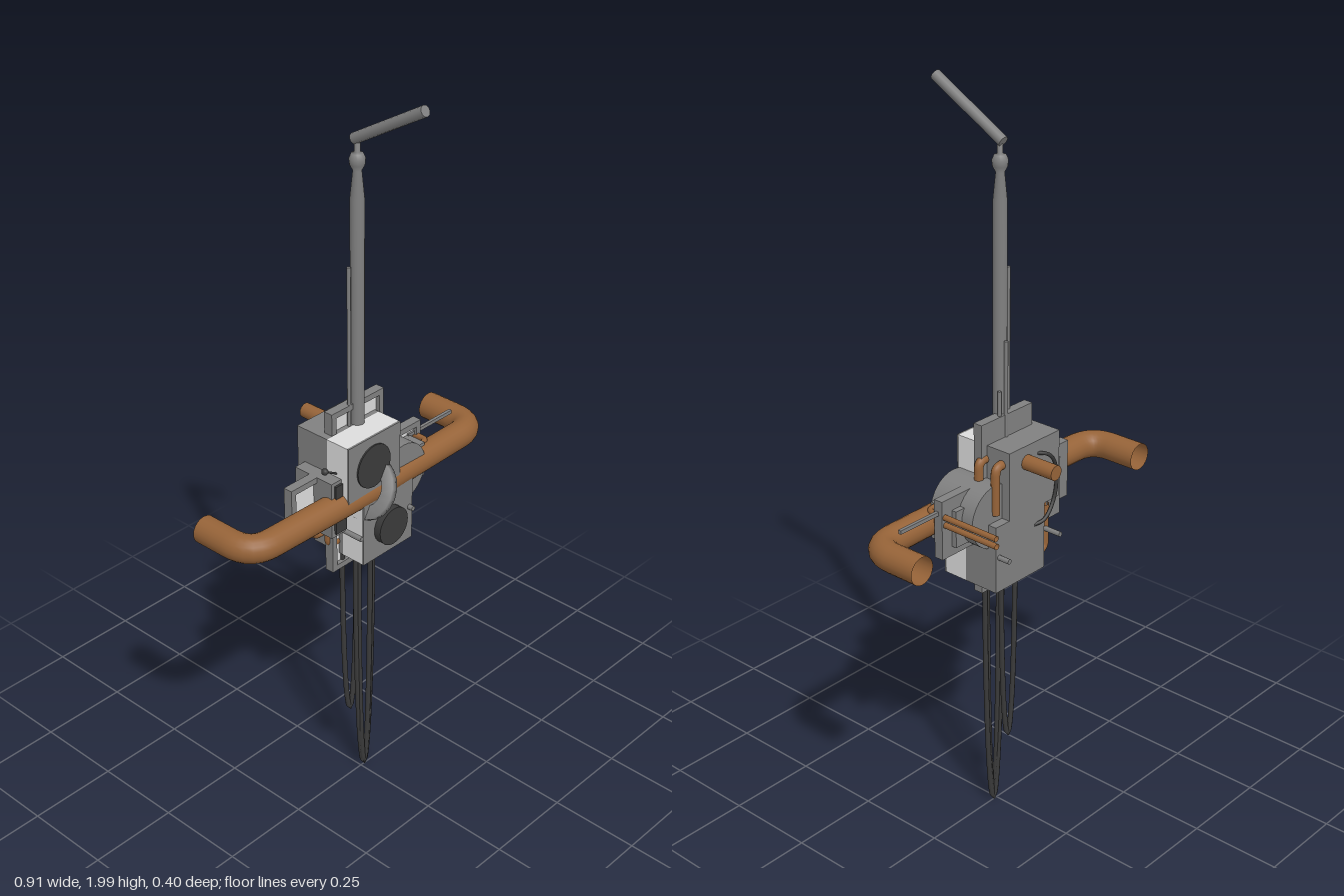
import * as THREE from 'three';

const mat = (name, color, side = THREE.FrontSide) => {
  const m = new THREE.MeshStandardMaterial({ color, side });
  m.name = name;
  return m;
};

export function createModel() {
  const grey = mat('grey metal', 0x808080);
  const pale = mat('pale panel', 0xdcdcdc);
  const dark = mat('dark rubber', 0x3a3a3a);
  const brown = mat('copper brown', 0x966338, THREE.DoubleSide);

  const model = new THREE.Group();
  const V = (x, y, z) => new THREE.Vector3(x, y, z);
  const add = (name, geo, material, parent = model) => {
    const m = new THREE.Mesh(geo, material);
    m.name = name;
    parent.add(m);
    return m;
  };
  // box given by its lower and upper limits on each axis
  const box = (name, material, x0, x1, y0, y1, z0, z1, parent) => {
    const m = add(name, new THREE.BoxGeometry(x1 - x0, y1 - y0, z1 - z0), material, parent);
    m.position.set((x0 + x1) / 2, (y0 + y1) / 2, (z0 + z1) / 2);
    return m;
  };
  // straight round rod between two points
  const rod = (name, material, a, b, r, sides = 12) => {
    const d = b.clone().sub(a);
    const m = add(name, new THREE.CylinderGeometry(r, r, d.length(), sides), material);
    m.position.copy(a).add(b).multiplyScalar(0.5);
    m.quaternion.setFromUnitVectors(V(0, 1, 0), d.normalize());
    return m;
  };
  // pipe through points with rounded corners
  const pipe = (name, material, pts, r, bend, sides = 16) => {
    const path = new THREE.CurvePath();
    let from = pts[0];
    for (let i = 1; i < pts.length; i++) {
      if (i === pts.length - 1) { path.add(new THREE.LineCurve3(from, pts[i])); break; }
      const p = pts[i];
      const a = p.clone().add(pts[i - 1].clone().sub(p).setLength(bend));
      const b = p.clone().add(pts[i + 1].clone().sub(p).setLength(bend));
      path.add(new THREE.LineCurve3(from, a));
      path.add(new THREE.QuadraticBezierCurve3(a, p, b));
      from = b;
    }
    return add(name, new THREE.TubeGeometry(path, 72, r, sides, false), material);
  };

  // mast with tapered neck and round collar
  const mastProfile = [[0, 0.75], [0.018, 0.75], [0.018, 1.72], [0.011, 1.79], [0.019, 1.805],
    [0.02, 1.82], [0.015, 1.832], [0.007, 1.835], [0.007, 1.865], [0, 1.865]];
  add('mast', new THREE.LatheGeometry(mastProfile.map(p => new THREE.Vector2(...p)), 16), grey)
    .position.z = -0.012;
  rod('mastTip', grey, V(0, 1.865, -0.022), V(0, 1.987, 0.193), 0.014, 10);

  // thin aerials beside the mast
  for (const [x, z, top] of [[-0.027, -0.015, 1.55], [0.003, -0.035, 1.37], [0.02, -0.028, 1.24]])
    rod('aerial', grey, V(x, 0.95, z), V(x, top, z), 0.005, 8);

  // crossed plates with raised rims and pale inlays
  const plate = (name, w, y0, y1) => {
    const g = new THREE.Group();
    g.name = name;
    model.add(g);
    const r = 0.016;
    box('plateBack', grey, -w, w, y0, y1, -0.036, -0.026, g);
    box('plateInlay', pale, -w + r, w - r, y0 + r, y1 - r, -0.026, -0.022, g);
    for (const s of [-1, 1]) {
      const c = s * (w - r / 2);
      box('plateRim', grey, c - r / 2, c + r / 2, y0, y1, -0.026, -0.01, g);
    }
    box('plateRim', grey, -w + r, w - r, y0, y0 + r, -0.026, -0.01, g);
    box('plateRim', grey, -w + r, w - r, y1 - r, y1, -0.026, -0.01, g);
  };
  plate('tallPlate', 0.095, 0.705, 1.175);
  plate('widePlate', 0.24, 0.86, 1.02);

  // two stacked housings: grey rear, pale front hood, grey face
  const housing = (name, x0, x1, y0, y1) => {
    const g = new THREE.Group();
    g.name = name;
    model.add(g);
    box('housingRear', grey, x0, x1, y0, y1, -0.11, -0.008, g);
    box('housingHood', pale, x0, x1, y0, y1, -0.008, 0.059, g);
    box('housingFace', grey, x0, x1, y0, y1, 0.059, 0.065, g);
  };
  housing('upperHousing', -0.115, 0.075, 0.93, 1.115);
  housing('lowerHousing', -0.06, 0.125, 0.745, 0.93);

  // round dark lenses
  for (const [x, y, r, z] of [[-0.025, 1.03, 0.06, 0.069], [0.033, 0.83, 0.053, 0.085]])
    rod('lens', dark, V(x, y, 0.06), V(x, y, z), r, 28);

  // side drum and side box with dark grille
  rod('sideDrum', grey, V(0.1, 0.945, -0.085), V(0.1, 0.945, 0.055), 0.085, 32);
  box('drumFoot', grey, 0.12, 0.205, 0.885, 0.985, -0.05, 0.035);
  box('sideBox', grey, -0.15, -0.1, 0.86, 1.02, -0.085, 0.04);
  box('sideGrille', dark, -0.14, -0.102, 0.87, 1.01, 0.04, 0.046);

  // handlebar with swept-back open ends
  pipe('handlebar', brown, [V(-0.417, 0.94, -0.137), V(-0.417, 0.94, 0.026), V(0, 0.94, 0.034),
    V(0.417, 0.94, 0.026), V(0.417, 0.94, -0.137)], 0.037, 0.07, 20);

  // strap wound diagonally around the handlebar
  const band = [[0.05, -0.01], [0.084, -0.01], [0.084, 0.01], [0.05, 0.01], [0.05, -0.01]];
  const strap = add('strap', new THREE.LatheGeometry(band.map(p => new THREE.Vector2(...p)), 20), grey);
  strap.position.set(-0.01, 0.945, 0.033);
  strap.rotation.z = -Math.PI * 2 / 3;

  // rear pipes
  rod('rearPipe', brown, V(0.01, 1.07, -0.1), V(0.01, 1.07, -0.205), 0.02, 16);
  for (const [y, x] of [[0.975, 0.23], [0.953, 0.228]])
    pipe('thinPipe', brown, [V(0.15, y, 0.022), V(x, y, 0.022), V(x, y, -0.205)], 0.008, 0.02, 10);

  // elbow pipes on both sides, turned half round
  for (const s of [1, -1])
    for (const z of [-0.085, -0.03])
      pipe('elbowPipe', brown, [V(0.005 + s * 0.05, 0.93 + s * 0.148, z),
        V(0.005 + s * 0.094, 0.93 + s * 0.148, z), V(0.005 + s * 0.094, 0.93 + s * 0.02, z)], 0.012, 0.02, 12);

  // cross pins through the body
  for (const x of [-0.083, 0.113])
    rod('crossPin', grey, V(x, 0.843, -0.145), V(x, 0.843, 0.08), 0.007, 8);

  // side boom with short struts
  box('sideBoom', grey, 0.2, 0.372, 0.98, 0.99, -0.025, -0.016);

  // small knob on a stalk
  rod('knobStalk', dark, V(-0.1, 1.02, 0.018), V(-0.172, 1.068, 0.041), 0.003, 8);
  add('knob', new THREE.SphereGeometry(0.009, 12, 8), dark).position.set(-0.174, 1.069, 0.041);

  // cable looped on the back
  const backLoop = [V(-0.03, 1.08, -0.105), V(-0.06, 1.07, -0.122), V(-0.095, 1.02, -0.117),
    V(-0.09, 0.94, -0.117), V(-0.05, 0.89, -0.118), V(-0.02, 0.88, -0.105)];
  add('backCable', new THREE.TubeGeometry(new THREE.CatmullRomCurve3(backLoop), 40, 0.005, 8), dark);

  // long hanging cable loops
  for (const [c, w, top, low, z] of [[0.012, 0.033, 0.76, 0.012, 0], [0.009, 0.022, 0.76, 0.02, 0.004],
    [-0.021, 0.027, 0.74, 0.215, -0.022]]) {
    const pts = [];
    for (let i = 0; i <= 24; i++) {
      const t = Math.PI * i / 24;
      pts.push(V(c - w * Math.cos(t), top - (top - low) * Math.sin(t), z));
    }
    add('hangingCable', new THREE.TubeGeometry(new THREE.CatmullRomCurve3(pts), 96, 0.007, 8), dark);
  }
  return model;
}
